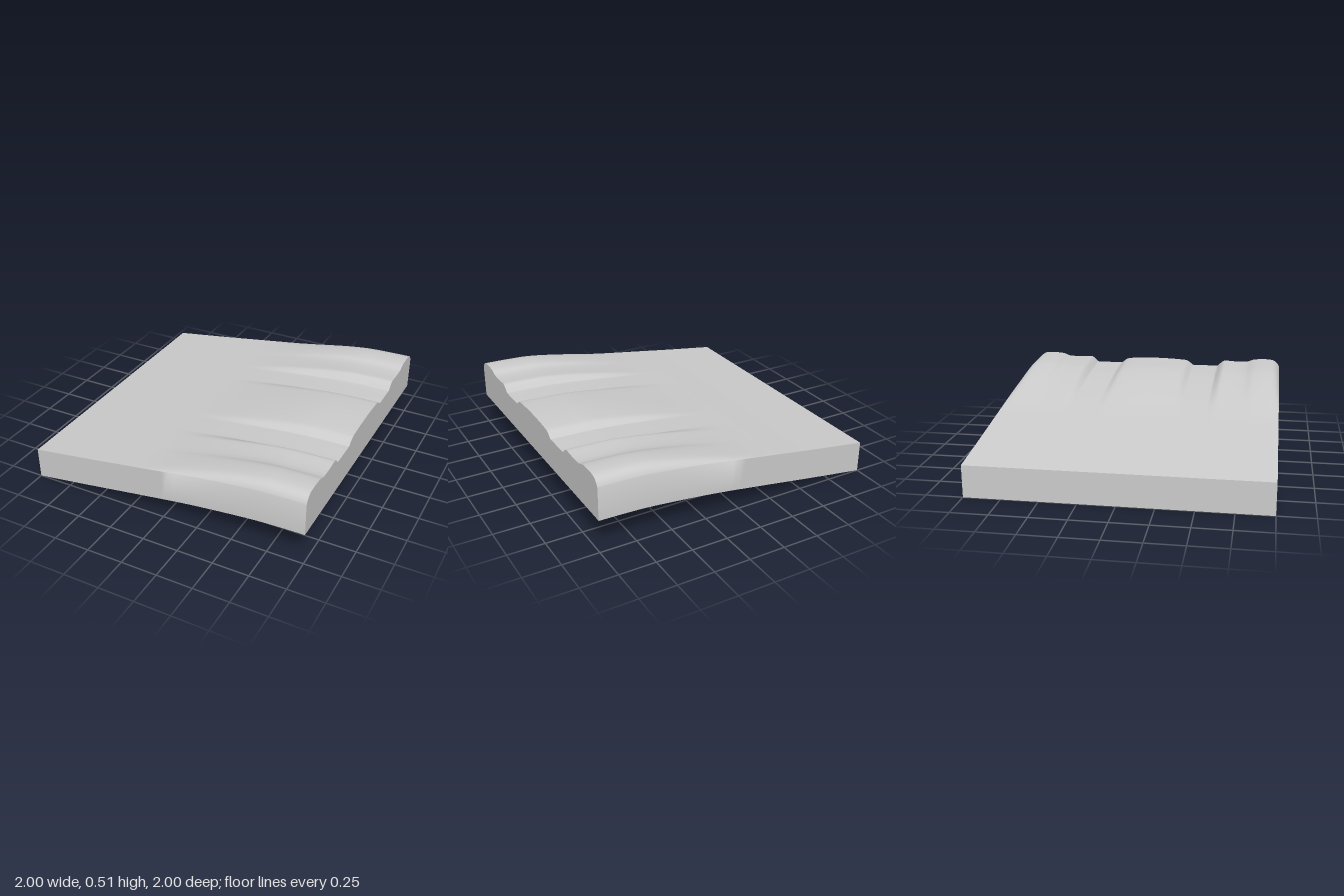
import * as THREE from 'three';
import { toCreasedNormals } from 'three/addons/utils/BufferGeometryUtils.js';

const spline = (pts, steps) =>
  new THREE.SplineCurve(pts.map(([a, b]) => new THREE.Vector2(a, b))).getPoints((pts.length - 1) * steps);

// Underside height along x
const underside = spline([[-1, 0], [-0.6, 0.056], [-0.2, 0.115], [0.2, 0.171],
  [0.6, 0.212], [0.8, 0.223], [1, 0.227]], 8);

// Ridge height above the grooves, from the middle to the edge
const half = [[0, 0.049], [0.1, 0.047], [0.2, 0.042], [0.245, 0.036], [0.27, 0.022], [0.295, 0.002],
  [0.31, 0], [0.4, 0], [0.49, 0], [0.505, 0.006], [0.53, 0.03], [0.552, 0.044], [0.58, 0.045],
  [0.66, 0.04], [0.74, 0.043], [0.775, 0.056], [0.81, 0.064], [0.88, 0.068], [0.945, 0.063],
  [0.975, 0.045], [0.99, 0.027], [1, 0.006]];
const ridges = spline([...half.slice(1).reverse().map(([z, h]) => [-z, h]), ...half], 2);

const THICKNESS = 0.22;

function slabGeometry() {
  const pos = [];
  const quad = (a, b, c, d) => pos.push(...a, ...b, ...c, ...a, ...c, ...d);
  const low = (i, j) => [underside[i].x, underside[i].y, ridges[j].x];
  // Ridges swell gradually out of the flat end
  const high = (i, j) => {
    const { x, y } = underside[i];
    return [x, y + THICKNESS + ridges[j].y * THREE.MathUtils.smoothstep(x, -0.22, 0.75), ridges[j].x];
  };
  const m = underside.length - 1, n = ridges.length - 1;
  for (let i = 0; i < m; i++) {
    for (let j = 0; j < n; j++) {
      quad(high(i, j), high(i, j + 1), high(i + 1, j + 1), high(i + 1, j)); // top
      quad(low(i, j), low(i + 1, j), low(i + 1, j + 1), low(i, j + 1)); // bottom
    }
    quad(low(i, n), low(i + 1, n), high(i + 1, n), high(i, n)); // front
    quad(low(i + 1, 0), low(i, 0), high(i, 0), high(i + 1, 0)); // back
  }
  for (let j = 0; j < n; j++) {
    quad(low(0, j), low(0, j + 1), high(0, j + 1), high(0, j)); // flat end
    quad(low(m, j + 1), low(m, j), high(m, j), high(m, j + 1)); // ridged end
  }
  const geometry = new THREE.BufferGeometry();
  geometry.setAttribute('position', new THREE.Float32BufferAttribute(pos, 3));
  return toCreasedNormals(geometry, 1.2);
}

export function createModel() {
  const group = new THREE.Group();
  group.name = 'ridgedSlab';
  const grey = new THREE.MeshStandardMaterial({ color: 0xcccccc });
  grey.name = 'light grey';
  const slab = new THREE.Mesh(slabGeometry(), grey);
  slab.name = 'slab';
  group.add(slab);
  return group;
}
